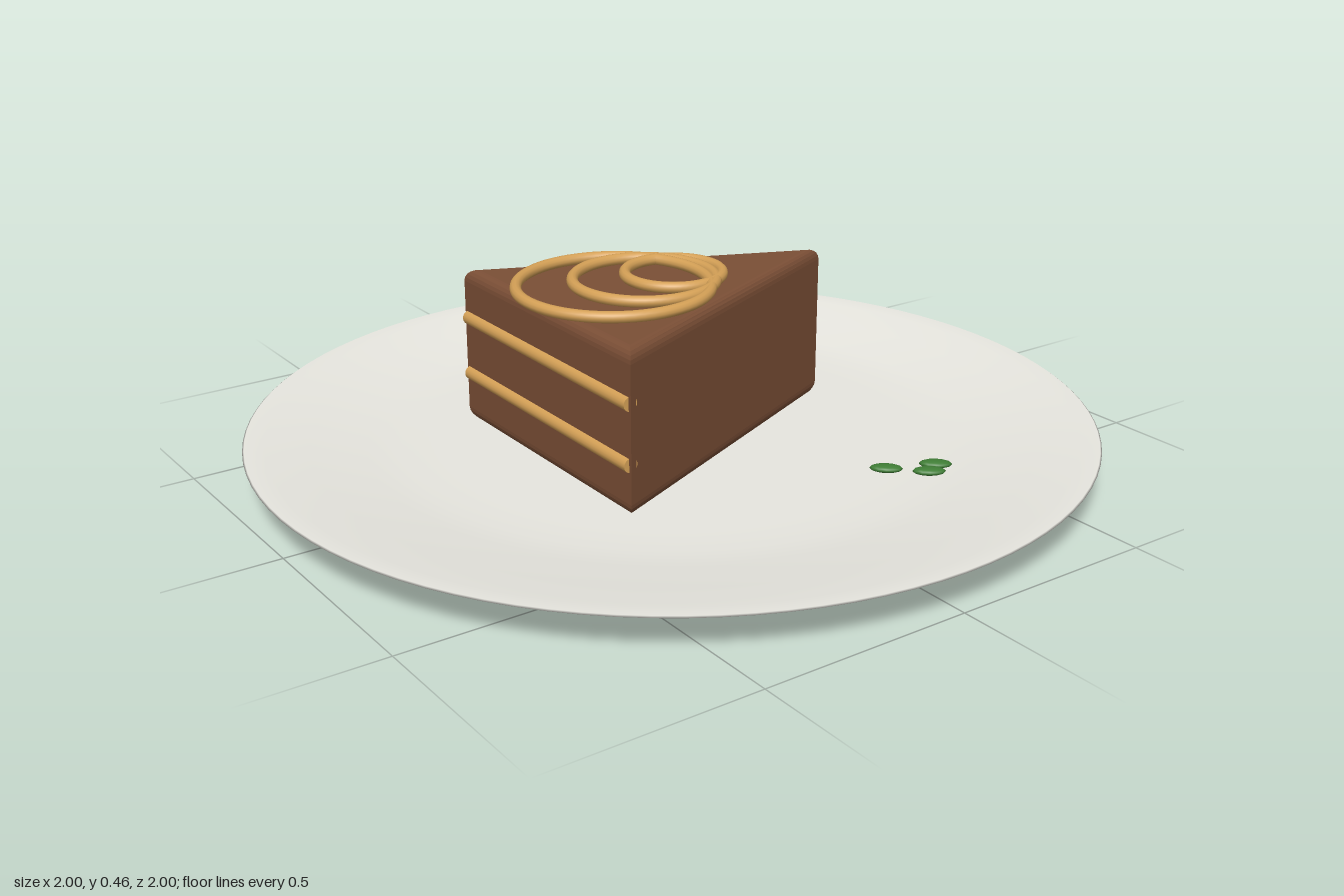
import * as THREE from 'three';

const material = (name, color, extra = {}) => {
  const m = new THREE.MeshStandardMaterial({ color, ...extra });
  m.name = name;
  return m;
};

export function createModel() {
  const group = new THREE.Group();
  const porcelain = material('porcelain', 0xecebe4);
  const chocolate = material('chocolate', 0x7b4f36);
  const caramel = material('caramel', 0xd4a056);
  const mint = material('mint green', 0x3f7d35);

  const add = (name, geometry, mat, x = 0, y = 0, z = 0) => {
    const mesh = new THREE.Mesh(geometry, mat);
    mesh.name = name;
    mesh.position.set(x, y, z);
    group.add(mesh);
    return mesh;
  };

  // Plate: shallow dish with a raised rim, underside first
  const profile = [
    [0, 0], [0.45, 0], [0.55, 0.004], [0.63, 0.01], [0.7, 0.02], [0.85, 0.053],
    [0.985, 0.083], [1, 0.088], [0.996, 0.091], [0.95, 0.087], [0.85, 0.073],
    [0.72, 0.053], [0.64, 0.046], [0.55, 0.045], [0, 0.045],
  ].map(([r, y]) => new THREE.Vector2(r, y));
  add('plate', new THREE.LatheGeometry(profile, 96), porcelain);

  // Cake wedge: bevelled triangle, point towards the back
  const wedge = new THREE.Shape();
  wedge.moveTo(-0.315, -0.33);
  wedge.lineTo(0.315, -0.33);
  wedge.lineTo(0, 0.398);
  wedge.closePath();
  const bevel = 0.03;
  const bottom = 0.05;
  const top = 0.43;
  const cake = new THREE.ExtrudeGeometry(wedge, {
    depth: top - bottom - 2 * bevel,
    bevelThickness: bevel,
    bevelSize: bevel,
    bevelSegments: 5,
  });
  cake.rotateX(-Math.PI / 2);
  add('cakeSlice', cake, chocolate, 0, bottom + bevel, 0);

  // Filling layers showing on the front face
  for (const y of [0.17, 0.31]) {
    const layer = new THREE.CylinderGeometry(0.017, 0.017, 0.685, 16);
    layer.rotateZ(Math.PI / 2);
    add('fillingLayer', layer, caramel, 0, y, 0.349);
  }

  // Caramel drizzle rings on top
  for (const [radius, z] of [[0.113, -0.004], [0.165, 0.078], [0.222, 0.162]]) {
    const ring = new THREE.TorusGeometry(radius, 0.0135, 12, 64);
    ring.rotateX(Math.PI / 2);
    add('drizzleRing', ring, caramel, 0, 0.445, z);
  }

  // Mint leaves on the plate
  for (const [x, z, turn] of [[0.512, -0.375, 0.9], [0.534, -0.335, 0.95], [0.466, -0.266, 0.85]]) {
    const leaf = new THREE.SphereGeometry(1, 12, 8);
    leaf.scale(0.038, 0.009, 0.02);
    add('mintLeaf', leaf, mint, x, 0.052, z).rotation.y = turn;
  }

  return group;
}
